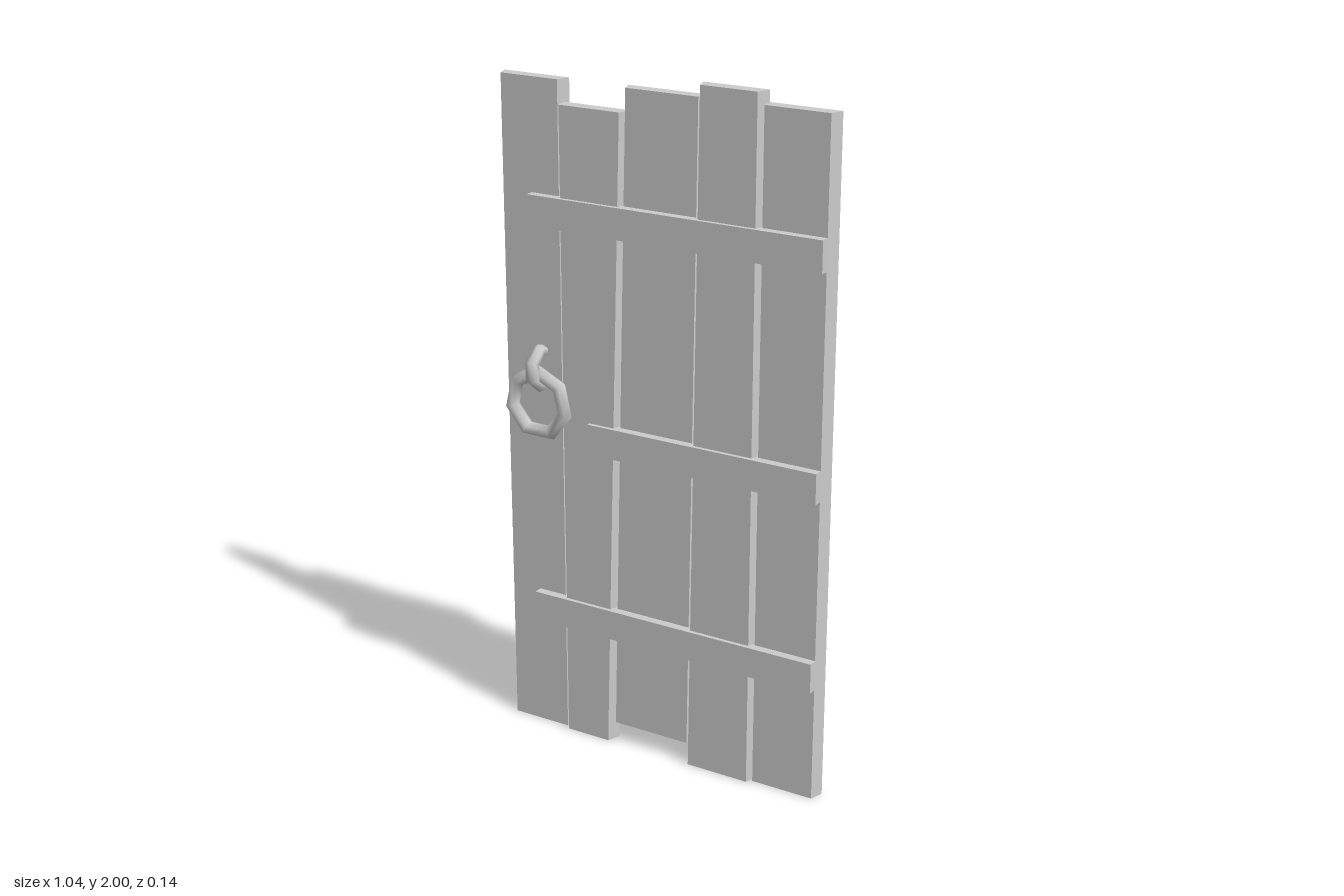
import * as THREE from 'three';

const grey = new THREE.MeshStandardMaterial({ color: 0xcccccc });
const FLARE = 0.014; // planks are wider at the back

// Tapered plank: front-face edges at the bottom (l0, r0) and top (l1, r1)
function plankGeometry({ y0, y1, l0, r0, l1, r1, zBack, zFront }) {
  const g = new THREE.BoxGeometry(1, 1, 1);
  const p = g.attributes.position;
  for (let i = 0; i < p.count; i++) {
    const right = p.getX(i) > 0, top = p.getY(i) > 0, back = p.getZ(i) < 0;
    const edge = right ? (top ? r1 : r0) : (top ? l1 : l0);
    p.setXYZ(i, edge + (back ? (right ? FLARE : -FLARE) : 0), top ? y1 : y0, back ? zBack : zFront);
  }
  g.computeVertexNormals();
  return g;
}

// Strap with a pointed free end, passing through the door
function strapGeometry(tip, height, depth) {
  const end = 0.505, h = height / 2, s = tip + 0.03;
  const shape = new THREE.Shape();
  shape.moveTo(end, -h);
  shape.lineTo(end, h);
  shape.lineTo(s, h);
  shape.lineTo(tip, 0.012);
  shape.lineTo(tip, -0.012);
  shape.lineTo(s, -h);
  shape.closePath();
  return new THREE.ExtrudeGeometry(shape, { depth, bevelEnabled: false });
}

export function createModel() {
  const door = new THREE.Group();
  door.name = 'plankDoor';
  const add = (name, geometry, x = 0, y = 0, z = 0) => {
    const mesh = new THREE.Mesh(geometry, grey);
    mesh.name = name;
    mesh.position.set(x, y, z);
    door.add(mesh);
    return mesh;
  };

  // Five uneven planks, alternately set back and forward
  const rear = { zBack: -0.045, zFront: -0.006 };
  const fore = { zBack: -0.033, zFront: 0.008 };
  const planks = [
    { y0: 0, y1: 1.965, l0: -0.505, r0: -0.32, l1: -0.505, r1: -0.32, ...rear },
    { y0: 0, y1: 1.9, l0: -0.307, r0: -0.167, l1: -0.307, r1: -0.115, ...fore },
    { y0: 0.06, y1: 1.965, l0: -0.148, r0: 0.095, l1: -0.103, r1: 0.12, ...rear },
    { y0: 0, y1: 2, l0: 0.108, r0: 0.302, l1: 0.133, r1: 0.302, ...fore },
    { y0: 0, y1: 1.965, l0: 0.315, r0: 0.505, l1: 0.315, r1: 0.505, ...rear },
  ];
  planks.forEach((p, i) => add(`plank${i + 1}`, plankGeometry(p)));

  // Three straps, the middle one shorter
  const straps = [['bottomStrap', 0.39, -0.44], ['middleStrap', 0.955, -0.25], ['topStrap', 1.597, -0.44]];
  for (const [name, y, tip] of straps) add(name, strapGeometry(tip, 0.09, 0.09), 0, y, -0.07);

  // Seven-sided pull ring
  const ring = add('pullRing', new THREE.TorusGeometry(0.092, 0.022, 6, 7), -0.384, 1.035, 0.02);
  ring.rotation.z = Math.PI / 2;

  // Staple holding the ring: five sides of a heptagon, ends sunk in the plank
  const step = (Math.PI * 2) / 7;
  const stapleGeometry = new THREE.TorusGeometry(0.053, 0.02, 6, 5, step * 5);
  stapleGeometry.rotateZ(-step * 2.5);
  stapleGeometry.rotateY(-Math.PI / 2);
  add('ringStaple', stapleGeometry, -0.384, 1.137, 0);

  return door;
}
